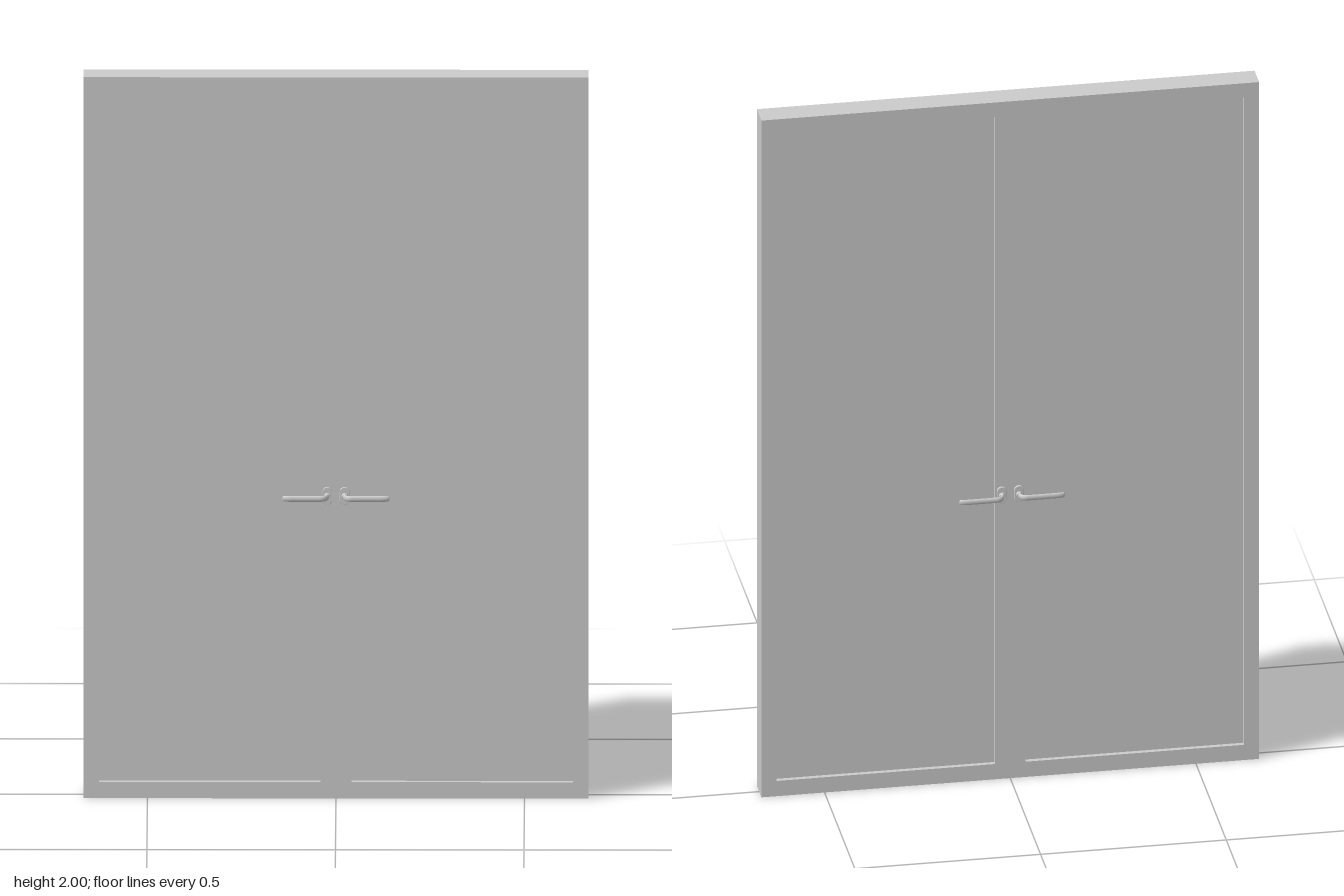
import * as THREE from 'three';

const W = 1.34, H = 2, D = 0.07;      // overall door size
const X0 = 0.041, X1 = 0.629;         // panel opening, inner and outer edge
const Y0 = 0.045, Y1 = 1.958;         // panel opening, bottom and top
const PANEL_D = 0.044;

const material = new THREE.MeshStandardMaterial({ color: 0xcccccc });

function mesh(name, geometry) {
  const m = new THREE.Mesh(geometry, material);
  m.name = name;
  return m;
}

function rect(path, x0, y0, x1, y1) {
  path.moveTo(x0, y0);
  path.lineTo(x1, y0);
  path.lineTo(x1, y1);
  path.lineTo(x0, y1);
  path.closePath();
  return path;
}

// Lever handle standing on z = 0, pointing along +x
function createHandle() {
  const handle = new THREE.Group();

  // Oval backplate
  const r = 0.012, h = 0.011;
  const oval = new THREE.Shape();
  oval.absarc(0, h, r, 0, Math.PI, false);
  oval.absarc(0, -h, r, Math.PI, Math.PI * 2, false);
  oval.closePath();
  handle.add(mesh('backplate', new THREE.ExtrudeGeometry(oval, {
    depth: 0.005, bevelThickness: 0.001, bevelSize: 0.001, bevelSegments: 2, curveSegments: 12,
  })));

  // Collar around the neck
  const collar = mesh('collar', new THREE.CylinderGeometry(0.007, 0.009, 0.008, 20));
  collar.rotation.x = Math.PI / 2;
  collar.position.z = 0.009;
  handle.add(collar);

  // Bent lever with a flattened section and a slight return at the tip
  const path = new THREE.CurvePath();
  const v = (x, z) => new THREE.Vector3(x, 0, z);
  path.add(new THREE.LineCurve3(v(0, 0.004), v(0, 0.014)));
  path.add(new THREE.QuadraticBezierCurve3(v(0, 0.014), v(0.002, 0.031), v(0.02, 0.031)));
  path.add(new THREE.LineCurve3(v(0.02, 0.031), v(0.095, 0.031)));
  path.add(new THREE.QuadraticBezierCurve3(v(0.095, 0.031), v(0.108, 0.031), v(0.115, 0.028)));
  const lever = mesh('lever', new THREE.TubeGeometry(path, 48, 0.0045, 12));
  const tip = mesh('leverTip', new THREE.SphereGeometry(0.0045, 12, 8));
  tip.position.copy(v(0.115, 0.028));
  lever.add(tip);
  lever.scale.y = 1.75;
  handle.add(lever);
  return handle;
}

export function createModel() {
  const door = new THREE.Group();
  door.name = 'doubleDoor';

  // Frame with two openings
  const outline = rect(new THREE.Shape(), -W / 2, 0, W / 2, H);
  outline.holes.push(rect(new THREE.Path(), X0, Y0, X1, Y1));
  outline.holes.push(rect(new THREE.Path(), -X1, Y0, -X0, Y1));
  const frame = mesh('frame', new THREE.ExtrudeGeometry(outline, { depth: D, bevelEnabled: false }));
  frame.position.z = -D / 2;
  door.add(frame);

  for (const side of [1, -1]) {
    const label = side > 0 ? 'left' : 'right';

    // Recessed panel
    const panel = mesh(label + 'Panel', new THREE.BoxGeometry(X1 - X0, Y1 - Y0, PANEL_D));
    panel.position.set(side * (X0 + X1) / 2, (Y0 + Y1) / 2, 0);
    door.add(panel);

    // Handles on both faces, levers pointing outwards
    for (const face of [1, -1]) {
      const handle = createHandle();
      handle.name = label + (face > 0 ? 'FrontHandle' : 'BackHandle');
      handle.position.set(side * 0.023, 0.84, face * D / 2);
      if (face < 0) handle.rotation.y = Math.PI;
      if (side * face < 0) handle.rotation.z = Math.PI;
      door.add(handle);
    }
  }
  return door;
}
